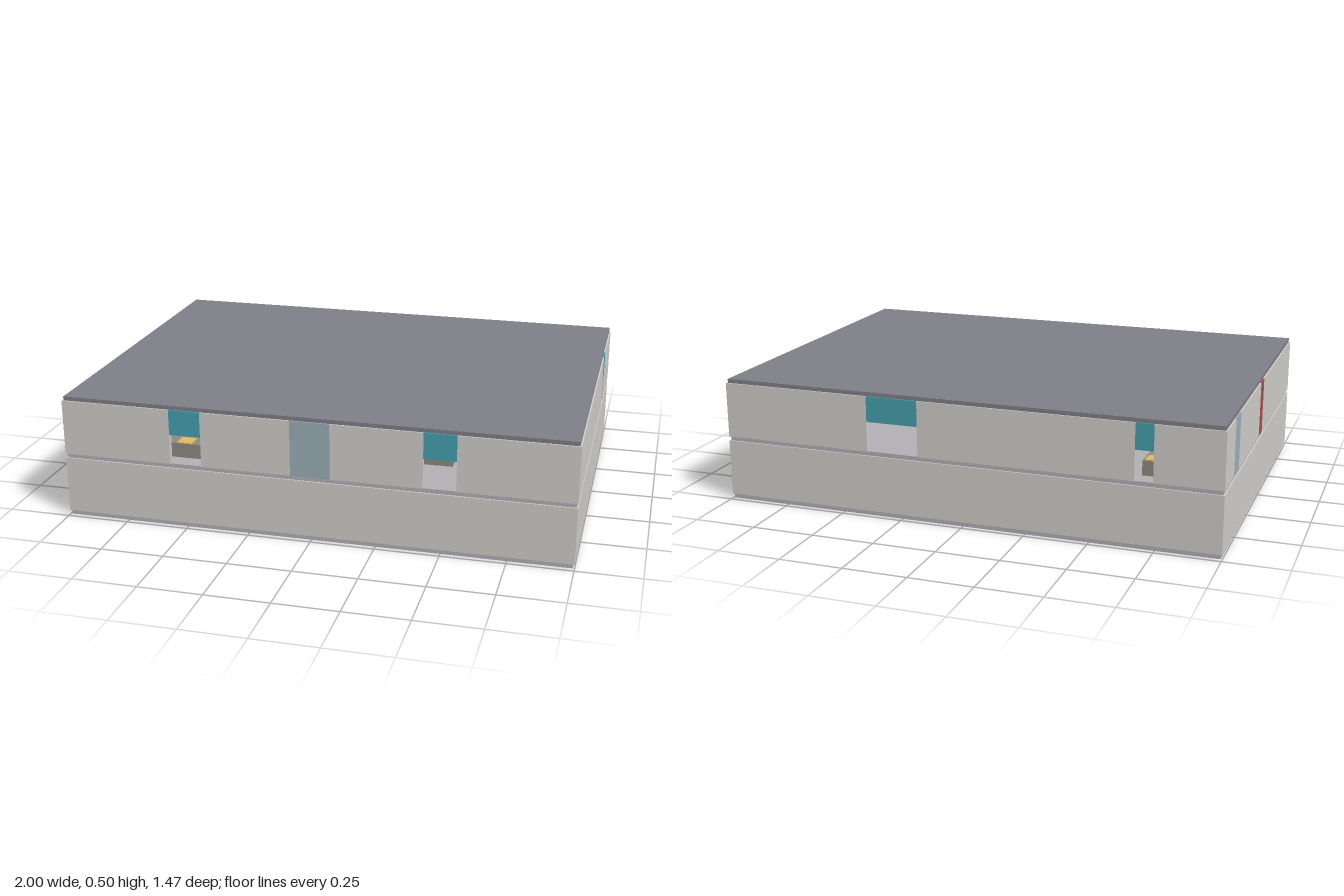
import * as THREE from 'three';

const HALF_X = 1, HALF_Z = 0.735, T = 0.02;
const mat = (color) => new THREE.MeshStandardMaterial({ color });
const MAT = {
  wall: mat(0xcfcdc8), roof: mat(0x7f7f87), floor: mat(0xb2b0b5),
  lintel: mat(0x45a0ae), glass: mat(0x9bafb8), red: mat(0xa85048),
  furniture: mat(0x8c8c82), cover: mat(0xe0b860),
};

function box(parent, name, material, [x0, x1], [y0, y1], [z0, z1]) {
  const mesh = new THREE.Mesh(new THREE.BoxGeometry(x1 - x0, y1 - y0, z1 - z0), material);
  mesh.position.set((x0 + x1) / 2, (y0 + y1) / 2, (z0 + z1) / 2);
  mesh.name = name;
  parent.add(mesh);
}

// One wall seen from outside, u running left to right, split around its openings
function wall(parent, name, halfLength, distance, angle, [y0, y1], openings = []) {
  const side = new THREE.Group();
  side.name = name;
  side.rotation.y = angle;
  const depth = [distance - T, distance];
  let u = -halfLength;
  for (const { from, to, kind } of openings) {
    box(side, 'wallSegment', MAT.wall, [u, from], [y0, y1], depth);
    if (kind === 'window') box(side, 'lintelPanel', MAT.lintel, [from, to], [0.38, y1], depth);
    else box(side, kind + 'Panel', MAT[kind], [from, to], [y0, y1], depth);
    u = to;
  }
  box(side, 'wallSegment', MAT.wall, [u, halfLength], [y0, y1], depth);
  parent.add(side);
}

function storey(parent, name, y, cuts = {}) {
  const g = new THREE.Group();
  g.name = name;
  wall(g, 'frontWall', HALF_X, HALF_Z, 0, y, cuts.front);
  wall(g, 'backWall', HALF_X, HALF_Z, Math.PI, y, cuts.back);
  wall(g, 'leftWall', HALF_Z - T, HALF_X, Math.PI / 2, y, cuts.plusX);
  wall(g, 'rightWall', HALF_Z - T, HALF_X, -Math.PI / 2, y, cuts.minusX);
  parent.add(g);
}

function slab(parent, name, material, y) {
  const x = HALF_X - 0.006, z = HALF_Z - 0.006;
  box(parent, name, material, [-x, x], y, [-z, z]);
}

export function createModel() {
  const model = new THREE.Group();
  model.name = 'building';

  // Floors, roof and the two storeys
  slab(model, 'baseSlab', MAT.floor, [0, 0.018]);
  storey(model, 'lowerStorey', [0.018, 0.243]);
  slab(model, 'middleSlab', MAT.floor, [0.243, 0.26]);
  const cut = (from, to, kind = 'window') => ({ from, to, kind });
  storey(model, 'upperStorey', [0.26, 0.481], {
    front: [cut(-0.56, -0.435), cut(-0.08, 0.075, 'glass'), cut(0.43, 0.555)],
    back: [cut(-0.39, -0.18), cut(0.67, 0.74)],
    plusX: [cut(0.33, 0.4)],
    minusX: [cut(-0.565, -0.47, 'glass'), cut(-0.035, 0.035, 'red')],
  });
  slab(model, 'roof', MAT.roof, [0.481, 0.497]);

  // Low furniture behind the windows
  box(model, 'frontRightBench', MAT.furniture, [-0.62, -0.445], [0.26, 0.318], [0.45, 0.66]);
  box(model, 'frontRightCover', MAT.cover, [-0.56, -0.5], [0.318, 0.322], [0.6, 0.66]);
  box(model, 'frontLeftBench', MAT.furniture, [0.3, 0.5], [0.26, 0.318], [0.3, 0.5]);
  box(model, 'backBench', MAT.furniture, [-0.8, -0.68], [0.26, 0.318], [-0.66, -0.5]);
  box(model, 'backCover', MAT.cover, [-0.74, -0.69], [0.318, 0.322], [-0.66, -0.6]);
  return model;
}
